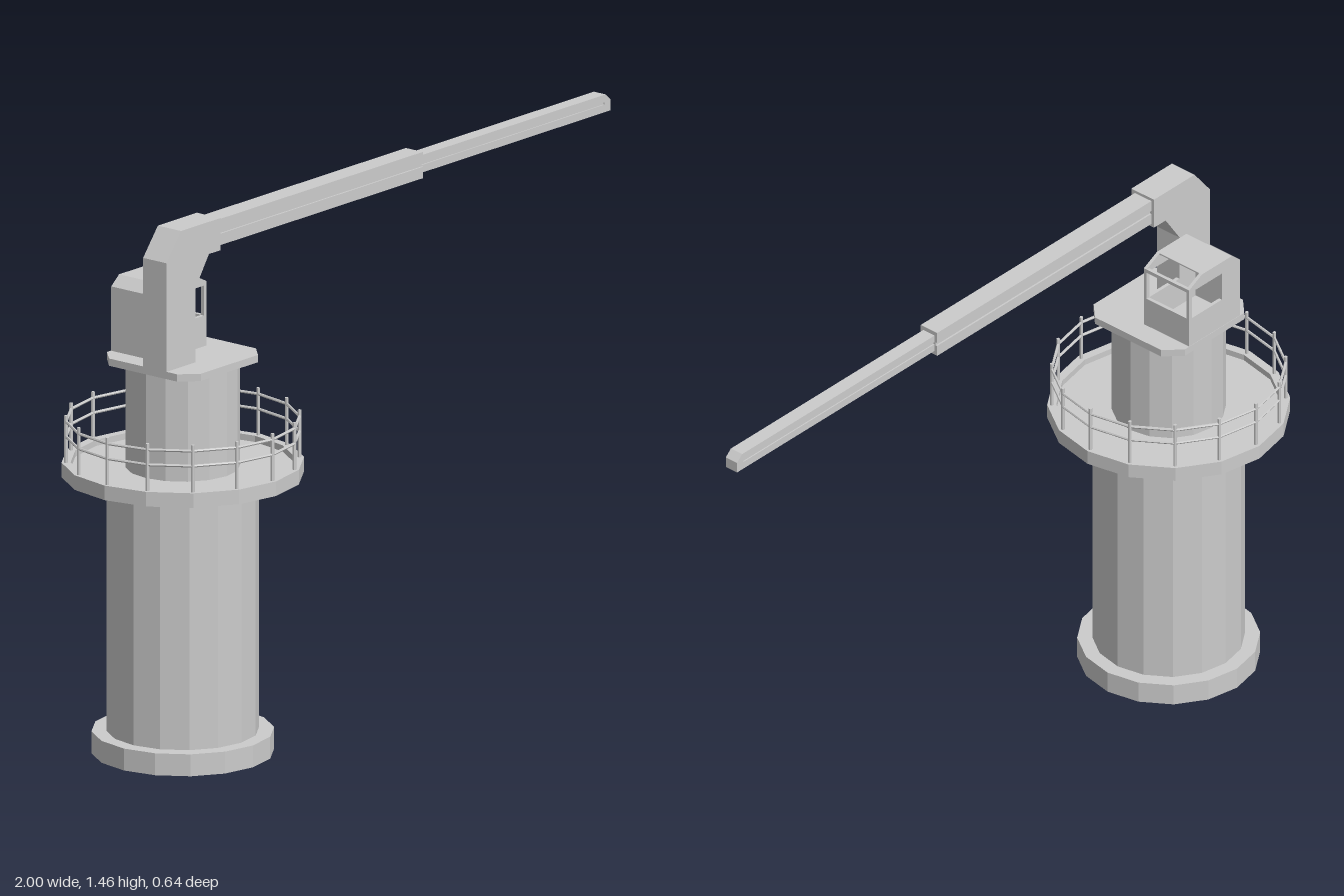
import * as THREE from 'three';

const SIDES = 16;
const AXIS_X = -0.68; // centre line of the tower

export function createModel() {
  const model = new THREE.Group();
  model.name = 'pedestalCrane';
  const grey = new THREE.MeshStandardMaterial({ color: 0xcccccc, flatShading: true });
  const thin = new THREE.MeshStandardMaterial({ color: 0xcccccc, flatShading: true, side: THREE.DoubleSide });

  const add = (name, geometry, parent = model, material = grey) => {
    const mesh = new THREE.Mesh(geometry, material);
    mesh.name = name;
    parent.add(mesh);
    return mesh;
  };
  const polygon = (points) => new THREE.Shape(points.map(([x, y]) => new THREE.Vector2(x, y)));
  const extrude = (shape, depth) => new THREE.ExtrudeGeometry(shape, { depth, bevelEnabled: false });
  // Box given by its minimum and maximum corners
  const box = (name, [x0, y0, z0], [x1, y1, z1], parent) => {
    const mesh = add(name, new THREE.BoxGeometry(x1 - x0, y1 - y0, z1 - z0), parent);
    mesh.position.set((x0 + x1) / 2, (y0 + y1) / 2, (z0 + z1) / 2);
  };

  // Tower: hollow column on a flange, recessed gallery and slewing column
  const tower = new THREE.Group();
  tower.name = 'tower';
  tower.position.x = AXIS_X;
  model.add(tower);
  const turned = (name, profile) => {
    const points = profile.map(([r, y]) => new THREE.Vector2(r, y));
    add(name, new THREE.LatheGeometry(points, SIDES), tower, thin);
  };
  turned('baseFlange', [[0.201, 0], [0.241, 0], [0.241, 0.06], [0.201, 0.06]]);
  turned('column', [[0.201, 0], [0.201, 0.757]]);
  turned('gallery', [[0, 0.757], [0.32, 0.757], [0.32, 0.797], [0.296, 0.797], [0.296, 0.78], [0, 0.78]]);
  turned('slewingColumn', [[0.151, 0.78], [0.151, 1.068]]);

  // Gallery railing
  const railing = new THREE.Group();
  railing.name = 'railing';
  tower.add(railing);
  for (let i = 0; i < SIDES; i++) {
    const a = (i / SIDES) * Math.PI * 2;
    const post = add('railPost', new THREE.CylinderGeometry(0.005, 0.005, 0.13, 6), railing);
    post.position.set(Math.cos(a) * 0.308, 0.861, Math.sin(a) * 0.308);
  }
  for (const y of [0.868, 0.909]) {
    const rail = add('handRail', new THREE.TorusGeometry(0.308, 0.004, 6, SIDES), railing);
    rail.rotation.x = Math.PI / 2;
    rail.position.y = y;
  }

  // Turntable deck with chamfered corners
  const h = 0.161, c = 0.117;
  const deck = extrude(polygon([[-h, -c], [-c, -h], [c, -h], [h, -c], [h, c], [c, h], [-c, h], [-h, c]]), 0.02);
  deck.rotateX(-Math.PI / 2);
  add('turntableDeck', deck).position.set(AXIS_X - 0.001, 1.068, 0);

  // Cranked mast carrying the boom
  const mast = extrude(polygon([
    [-0.842, 1.088], [-0.724, 1.088], [-0.724, 1.29], [-0.668, 1.372],
    [-0.622, 1.372], [-0.622, 1.46], [-0.782, 1.46], [-0.842, 1.385],
  ]), 0.08);
  add('mast', mast);

  // Operator cab: two side walls with windows, closed by panels
  const cab = new THREE.Group();
  cab.name = 'cab';
  model.add(cab);
  const side = polygon([
    [-0.782, 1.088], [-0.582, 1.088], [-0.582, 1.264], [-0.633, 1.29], [-0.75, 1.29], [-0.782, 1.264],
  ]);
  side.holes.push(new THREE.Path([[-0.711, 1.172], [-0.711, 1.254], [-0.593, 1.254], [-0.593, 1.172]]
    .map(([x, y]) => new THREE.Vector2(x, y))));
  for (const z of [-0.16, -0.01]) add('cabSideWall', extrude(side, 0.01), cab, thin).position.z = z;
  const z0 = -0.15, z1 = -0.01;
  box('cabBackWall', [-0.782, 1.088, z0], [-0.775, 1.264, z1], cab);
  box('cabRoof', [-0.75, 1.286, z0], [-0.633, 1.29, z1], cab);
  box('cabFrontPanel', [-0.592, 1.088, z0], [-0.582, 1.172, z1], cab);
  box('cabWindowHeader', [-0.592, 1.254, z0], [-0.582, 1.264, z1], cab);
  const rearSlope = polygon([[-0.782, 1.264], [-0.775, 1.262], [-0.748, 1.286], [-0.75, 1.29]]);
  add('cabRearSlope', extrude(rearSlope, z1 - z0), cab).position.z = z0;

  // Telescopic boom: rectangular sections with a narrow groove along each side
  const boomSection = (name, x0, x1, halfHeight, halfWidth) => {
    const g = halfHeight * 0.13, d = halfWidth * 0.82;
    const right = [
      [halfWidth, -halfHeight], [halfWidth, -g], [d, -g], [d, g], [halfWidth, g], [halfWidth, halfHeight],
    ];
    const left = right.map(([x, y]) => [-x, y]).reverse();
    const geometry = extrude(polygon([...right, ...left]), x1 - x0);
    geometry.rotateY(Math.PI / 2);
    add(name, geometry).position.set(x0, 1.416, 0.038);
  };
  boomSection('outerBoom', -0.622, 0.222, 0.036, 0.029);
  boomSection('innerBoom', 0.222, 0.975, 0.024, 0.02);

  // Boom tip with a chamfered nose
  const tip = polygon([[0.975, 1.392], [1, 1.392], [1, 1.422], [0.98, 1.44], [0.975, 1.44]]);
  add('boomTip', extrude(tip, 0.04)).position.z = 0.018;

  return model;
}
